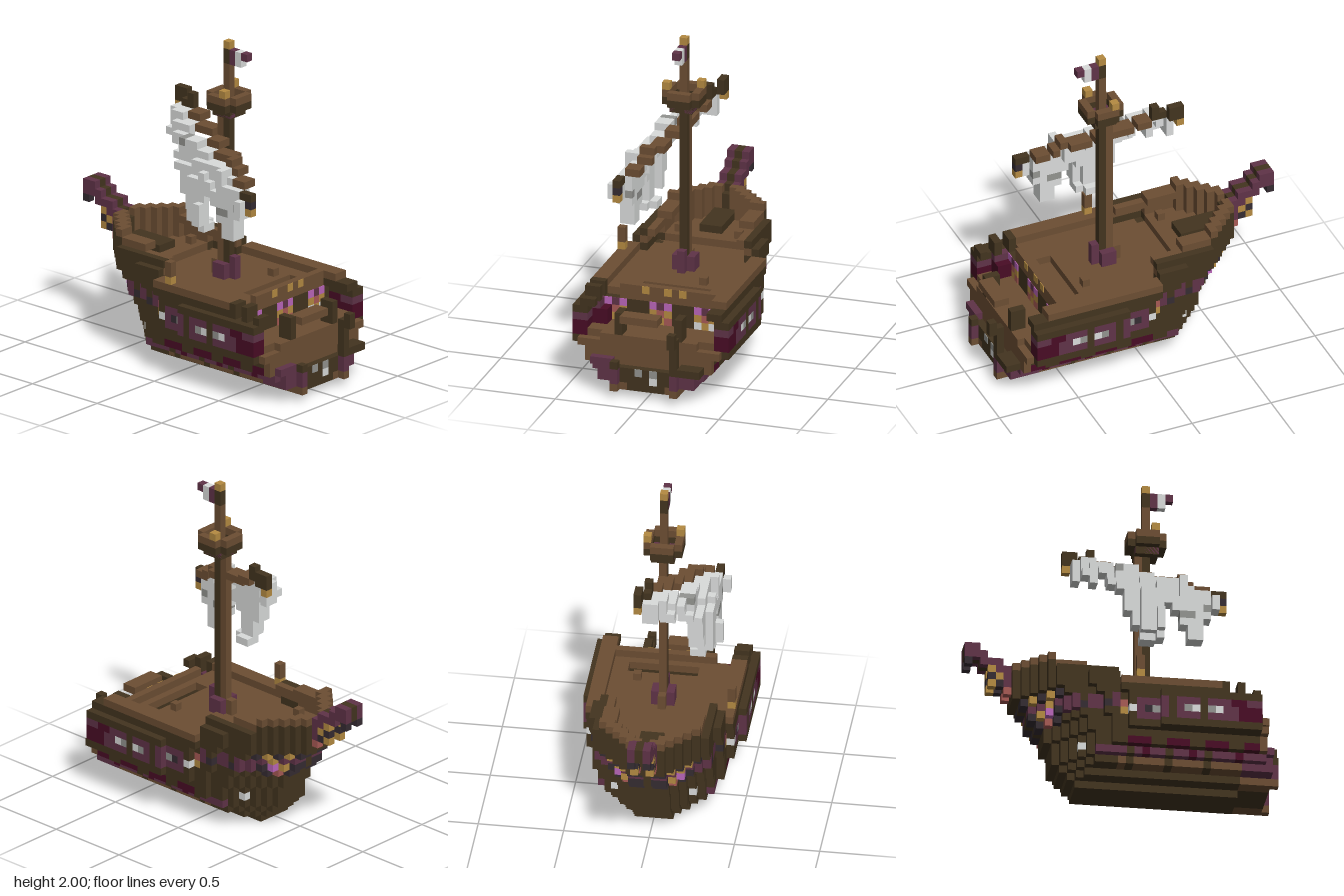
import * as THREE from 'three';
import { mergeGeometries } from 'three/addons/utils/BufferGeometryUtils.js';

const V = 1 / 22; // block size

const COLOURS = {
  darkWood: 0x43341f, wood: 0x6c4e33, purple: 0x603348, wine: 0x490c25, white: 0xdadcdb,
  grey: 0x939490, gold: 0xb58b42, charcoal: 0x352c32, coral: 0xa85a55, pink: 0xbb66bb,
};

export function createModel() {
  const root = new THREE.Group();
  root.name = 'sailingShip';
  const mats = {};
  for (const [name, color] of Object.entries(COLOURS)) {
    mats[name] = new THREE.MeshStandardMaterial({ color });
    mats[name].name = name;
  }

  // Blocks are gathered by part and colour, then merged. Ranges are inclusive block indices.
  const parts = {};
  function box(part, colour, x0, x1, y0, y1, z0, z1) {
    const g = new THREE.BoxGeometry((x1 - x0 + 1) * V, (y1 - y0 + 1) * V, (z1 - z0 + 1) * V);
    g.translate((x0 + x1) / 2 * V, (y0 + y1 + 1) / 2 * V, (z0 + z1) / 2 * V);
    const p = (parts[part] ??= {});
    (p[colour] ??= []).push(g);
  }
  const cell = (part, colour, x, y, z) => box(part, colour, x, x, y, y, z, z);
  // Thin painted square on the aft face of block x
  const aftPlate = (part, colour, x, y, z) => box(part, colour, x + 1, x + 0.1, y, y, z, z);

  // Half width of the deck plan, narrowing to the bow
  function plan(x) {
    if (x <= -9) return Math.min(7, x + 16);
    return x < -5 ? 7 : x < -1 ? 8 : x < 4 ? 9 : 10;
  }
  const sternCap = x => (x >= 18 ? 6 : x === 17 ? 9 : 10);

  // Outer planking colour by position
  function planking(x, y) {
    if (y <= 1) return y === 1 && x > 14 ? 'wood' : 'darkWood';
    if (y === 2) return x > 14 ? 'purple' : x >= -1 && x % 5 ? 'wood' : 'darkWood';
    if (y === 3) return x < -4 ? 'darkWood' : x % 5 === 0 && x < 15 ? 'darkWood' : x % 6 === 2 ? 'wine' : 'purple';
    if (y === 4) {
      if (x === -6) return 'white';
      return x >= -2 && (x + 20) % 5 < 3 ? 'wine' : 'darkWood';
    }
    if (x >= 13 && y >= 7 && y <= 9) return y === 9 ? (x < 15 ? 'wine' : 'purple') : x < 14 ? 'purple' : 'wine';
    if (y === 8 && (x === 3 || x === 7 || x === 10)) return 'grey'; // gun ports
    if (y === 8 && (x === 8 || x === 11)) return 'white';
    if (y >= 7 && y <= 9 && x >= 1 && x <= 12 && x !== 5 && x !== 9) {
      return y === 8 && x === 2 ? 'charcoal' : 'purple';
    }
    if (x <= -9) { // bow ornament
      if (y === 11) return x === -10 || x === -12 ? 'gold' : 'charcoal';
      if (y === 10) return x === -10 ? 'gold' : 'purple';
      if (y === 9) return x === -10 ? 'pink' : x === -11 ? 'gold' : 'charcoal';
      if (y === 8) return x === -10 ? 'coral' : 'charcoal';
    }
    if (x >= -8 && x <= -2) {
      if ((y === 9 || y === 10) && x % 3) return 'purple';
      if (y === 9) return 'charcoal';
    }
    if (x === -1 && y === 9) return 'coral';
    if (x === -1 && y === 8) return 'gold';
    if (x === 0 && y === 8) return 'white';
    if (y === 12 && x >= -1) return 'wood';
    return 'darkWood';
  }

  // Hull: one course of blocks per layer, solid below the floor and hollow above
  const widths = [2, 4, 6, 7, 8, 8, 10, 10, 10, 10, 10, 9, 9];
  const starts = [-6, -7, -8, -9, -9, -9, -10, -10, -11, -12, -12, -13, -14];
  const ends = [14, 18, 18, 18, 17, 17, 17, 16, 16, 16, 16, 16, 14];
  for (let y = 0; y < widths.length; y++) {
    for (let x = starts[y]; x <= ends[y]; x++) {
      const fade = Math.min(1, Math.max(0, (3 - x) / 8));
      const shifted = Math.round(x - (starts[y] + 14) * fade);
      const w = Math.min(widths[y], plan(shifted), sternCap(x));
      const inner = Math.max(0, w - 1);
      const core = x > 15 && y > 3 ? 'wood' : 'darkWood';
      if (y < 7) box('hull', core, x, x, y, y, 1 - inner, inner - 1);
      for (const s of [-1, 1]) {
        if (s > 0 && y > 10 && x > 11) continue; // broken stern quarter
        const a = s * inner, b = s * w;
        const paint = x === 17 && y > 3 ? 'wood' : planking(x, y);
        box('hull', paint, x, x, y, y, Math.min(a, b), Math.max(a, b));
      }
      if (x === starts[y] && y >= 7) box('hull', 'darkWood', x, x, y, y, 1 - inner, inner - 1);
    }
  }

  // Raised bulwark around the bow, dark outside and lighter inside
  for (let y = 13; y <= 16; y++) {
    const last = [-2, -2, -6, -10][y - 13];
    for (let x = -14; x <= last; x++) {
      const w = Math.min(plan(x), [8, 7, 6, 6][y - 13]);
      const top = y === 16 || (y === 15 && x > -10);
      for (const s of [-1, 1]) {
        cell('bowBulwark', top ? 'wood' : 'darkWood', x, y, s * w);
        cell('bowBulwark', 'wood', x, y, s * (w - 1));
      }
    }
  }

  // Decks: foredeck, main deck with a hatch, lower stern floor
  for (let x = -13; x <= 12; x++) {
    const y = x <= -6 ? 12 : 11;
    const w = Math.min(plan(x), 9) - 2;
    if (w < 0) continue;
    if (x === 9 || x === 10) {
      box('mainDeck', 'wood', x, x, y, y, -w, -6);
      box('mainDeck', 'wood', x, x, y, y, 4, w);
    } else {
      box(x <= -6 ? 'foreDeck' : 'mainDeck', 'wood', x, x, y, y, -w, x > 11 ? 5 : w);
    }
  }
  box('deckSill', 'wood', 12, 12, 12, 12, -7, 5);
  for (const z of [2, -1, -3]) aftPlate('deckSill', 'gold', 12, 12, z);
  box('lowerDeck', 'wood', 1, 16, 7, 7, -8, 8);
  box('lowerDeck', 'wood', 17, 17, 7, 7, -6, 6);
  box('brokenQuarter', 'wine', 12, 14, 8, 9, 7, 8);
  box('brokenQuarter', 'purple', 13, 14, 10, 10, 8, 8);
  for (const x of [12, 14, 16]) box('brokenQuarter', 'darkWood', x, x, 11, x === 16 ? 11 : 12, 8, 9);

  // Cabin wall at the end of the main deck with three stained windows
  box('cabinWall', 'darkWood', 12, 12, 8, 10, -8, 7);
  const panes = [['coral', 'gold', 'coral'], ['gold', 'coral', 'gold'], ['pink', 'purple', 'pink']];
  for (const c of [-6, 0, 6]) {
    for (let r = 0; r < 3; r++) {
      for (let k = -1; k <= 1; k++) {
        aftPlate('cabinWindow', c === -6 && r === 0 && k ? 'white' : panes[r][k + 1], 12, 8 + r, c + k);
      }
    }
  }

  // Stern posts, beams and lower ornaments
  for (const z of [-4, 4]) {
    box('sternPost', 'wood', 19, 19, 1, 1, z, z);
    box('sternPost', 'purple', 19, 19, 2, 3, z, z);
    box('sternPost', 'darkWood', 19, 19, 4, z < 0 ? 8 : 4, z, z);
    box('sternPost', 'darkWood', 16, 17, 8, 10, z, z);
  }
  box('sternPost', 'darkWood', 20, 20, 8, 9, -4, -4);
  box('sternBeam', 'darkWood', 18, 19, 4, 4, -7, -5);
  box('sternBeam', 'purple', 17, 18, 4, 4, 5, 7);
  box('sternBeam', 'wood', 17, 18, 10, 10, -1, 3);
  aftPlate('sternOrnament', 'grey', 18, 3, -1);
  aftPlate('sternOrnament', 'white', 18, 2, -1);
  aftPlate('sternOrnament', 'grey', 18, 3, 1);

  // Bowsprit: stepped spar with dark spine and purple cheeks
  box('bowspritBase', 'darkWood', -14, -8, 13, 13, -1, 1);
  for (const [x0, x1, y0, y1] of [[-20, -19, 18, 19], [-18, -18, 18, 18], [-18, -16, 17, 17], [-16, -15, 16, 16], [-15, -14, 14, 15]]) {
    box('bowsprit', 'darkWood', x0, x1, y0, y1, 0, 0);
    for (const z of [-1, 1]) box('bowsprit', 'purple', x0, x1, y0, y1, z, z);
  }
  for (const z of [-1, 1]) {
    cell('bowLamp', 'charcoal', -20, 17, z);
    cell('bowLamp', 'gold', -17, 16, z);
    cell('bowLamp', 'charcoal', -17, 15, z);
    cell('bowLamp', 'gold', -17, 14, z);
    cell('bowLamp', 'gold', -16, 15, z);
    cell('bowLamp', 'charcoal', -16, 14, z);
    cell('bowLamp', 'coral', -15, 13, z);
  }

  // Deck fittings
  for (const [x, z, y] of [[-7, 4, 13], [-7, -4, 13], [7, -4, 12]]) cell('deckCleat', 'wood', x, y, z);
  box('deckLantern', 'gold', 1, 1, 13, 13, 9, 9);
  box('deckLantern', 'wood', 1, 1, 14, 15, 9, 9);

  // Mast and foot
  box('mast', 'darkWood', 3, 3, 8, 33, 0, 0);
  box('mast', 'wood', 2, 2, 8, 33, 0, 0);
  box('mast', 'wood', 3, 3, 34, 40, 0, 0);
  box('mast', 'darkWood', 3, 3, 41, 42, 0, 0);
  cell('mastCap', 'gold', 3, 43, 0);
  box('mastFoot', 'purple', 2, 3, 12, 13, 1, 1);
  box('mastFoot', 'purple', 2, 3, 12, 13, -1, -1);
  box('mastFoot', 'purple', 4, 4, 12, 14, 0, 0);
  box('mastFoot', 'wood', 1, 1, 12, 13, 0, 0);

  // Crow's nest
  box('crowsNest', 'darkWood', 2, 4, 34, 34, -1, 1);
  for (const s of [-1, 1]) {
    box('nestFloor', 'purple', 2, 4, 34.1, 34.1, s, s);
    box('crowsNest', 'darkWood', 2, 4, 35, 35, 2 * s, 2 * s);
    box('crowsNest', 'wood', 2, 4, 36, 36, 2 * s, 2 * s);
    box('crowsNest', 'darkWood', 3 + 2 * s, 3 + 2 * s, 35, 35, -1, 1);
    box('crowsNest', 'wood', 3 + 2 * s, 3 + 2 * s, 36, 36, -1, 1);
    cell('nestLamp', 'gold', 3 + s, 37, 2 * s);
  }

  // Pennant
  box('pennant', 'purple', 4, 4, 41, 42, 0, 0);
  box('pennant', 'white', 5, 5, 41, 42, 0, 0);
  cell('pennant', 'purple', 6, 42, 0);

  // Slanted yard with a torn sail billowing forward below it
  const yardY = [33, 33, 33, 33, 32, 32, 31, 31, 31, 30, 30, 29, 29, 29, 29, 28, 27, 27, 26, 26];
  const bottoms = [30, 30, 29, 30, 28, 27, 24, 22, 20, 20, 20, 25, 24, 22, 20, 20, 23, 24];
  for (let x = -7; x <= 12; x++) {
    const t = (x + 7) / 19;
    const y = yardY[x + 7], z = Math.round(-2 + 8 * t);
    const end = x < -3 || x > 10;
    box('yard', end ? 'darkWood' : 'wood', x, x, y, y + (x < -5 || x === -4 ? 1 : 0), end ? z : z - 1, z);
    if (x < -6 || x > 11) continue;
    const fullness = 3.2 * Math.sin(Math.PI * Math.min(1, 0.12 + t));
    for (let k = bottoms[x + 6]; k < y; k++) {
      const f = Math.min(1, (y - k) / 12);
      const sz = Math.min(7, z + Math.round(fullness * Math.sin(Math.PI * (0.1 + 0.72 * f))));
      const shade = (x === -1 && k === y - 1) || (x > 6 && x < 9 && k === 23) || (x === 10 && k === 24);
      box('sail', shade ? 'grey' : 'white', x, x, k, k, sz, sz + 1);
    }
  }
  cell('yardLamp', 'gold', -7, 32, -2);
  box('yardLamp', 'charcoal', 12, 12, 25, 25, 6, 6);
  cell('yardLamp', 'gold', 12, 24, 6);

  // One group per part, one mesh per colour
  for (const [part, byColour] of Object.entries(parts)) {
    const group = new THREE.Group();
    group.name = part;
    for (const [colour, list] of Object.entries(byColour)) {
      const mesh = new THREE.Mesh(mergeGeometries(list), mats[colour]);
      mesh.name = `${part} ${colour}`;
      group.add(mesh);
    }
    root.add(group);
  }
  return root;
}
